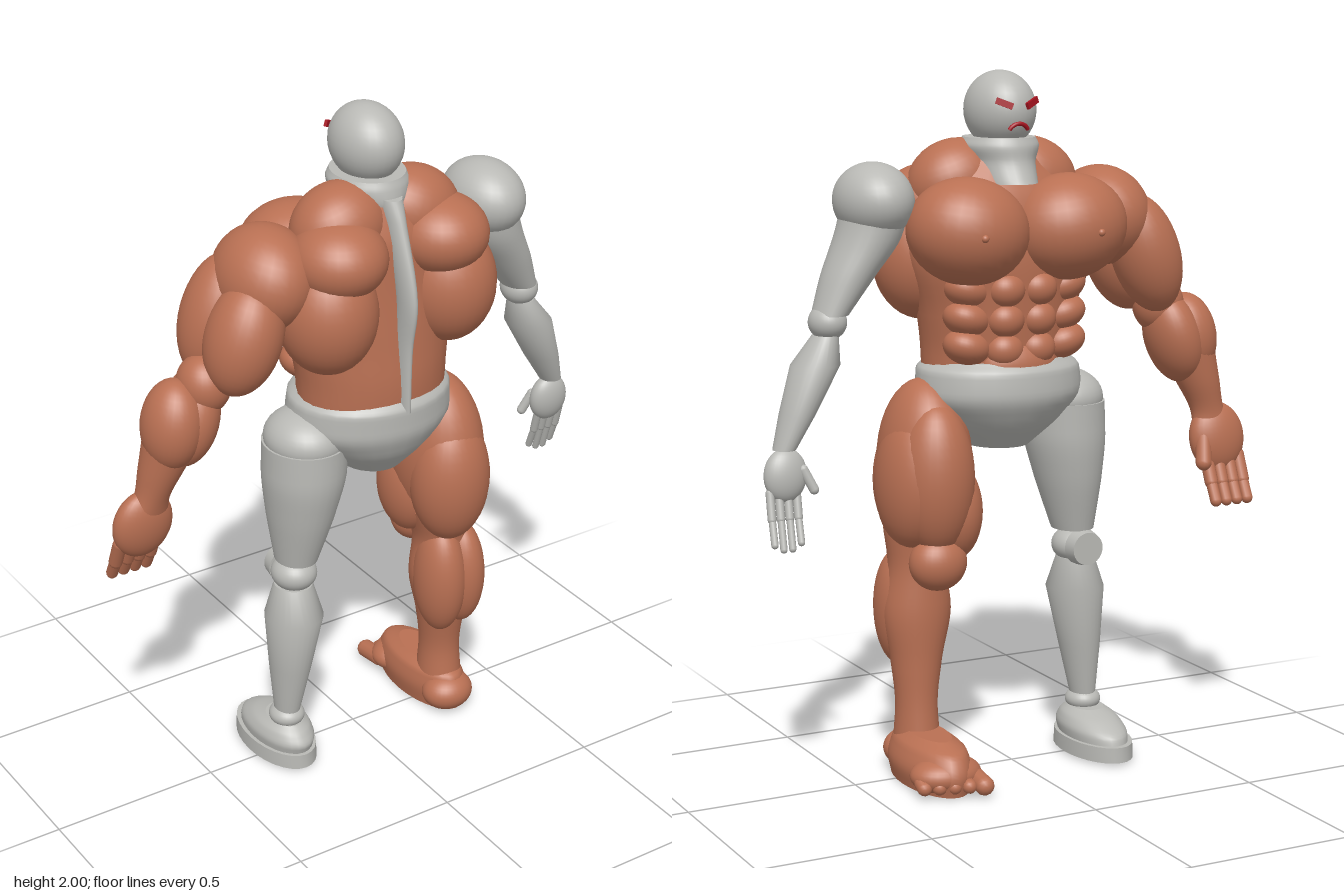
import * as THREE from 'three';

const mat = (name, color, side = THREE.FrontSide) => {
  const m = new THREE.MeshStandardMaterial({ color, side });
  m.name = name;
  return m;
};

export function createModel() {
  const skin = mat('skin', 0xb97053);
  const metal = mat('metal', 0xb9b9b5);
  const red = mat('red', 0xa81420);
  const model = new THREE.Group();
  model.name = 'figure';
  const CX = 0.02; // body centre line

  const add = (name, material, geo, pos = [0, 0, 0], rot = [0, 0, 0]) => {
    const mesh = new THREE.Mesh(geo, material);
    mesh.name = name;
    mesh.position.set(...pos);
    mesh.rotation.set(...rot);
    model.add(mesh);
    return mesh;
  };

  // Muscle or ball: a scaled sphere
  const ball = (name, material, pos, size, rot) =>
    add(name, material, new THREE.SphereGeometry(1, 32, 20), pos, rot).scale.set(...size);

  // Same ball on both sides of the centre line
  const pair = (name, material, [dx, y, z], size, [rx, ry, rz] = [0, 0, 0]) => {
    for (const s of [-1, 1]) ball(name, material, [CX + s * dx, y, z], size, [rx, s * ry, s * rz]);
  };

  // Rounded rod between two points
  const rod = (name, material, a, b, r) => {
    const p = new THREE.Vector3(...a), q = new THREE.Vector3(...b);
    const dir = q.clone().sub(p);
    const mesh = add(name, material, new THREE.CapsuleGeometry(r, dir.length(), 5, 12),
      p.clone().add(q).multiplyScalar(0.5).toArray());
    mesh.quaternion.setFromUnitVectors(new THREE.Vector3(0, 1, 0), dir.normalize());
  };

  // Loft of oval rings from top to bottom: [x, y, z, rx, rz]
  const loft = (name, material, rings, smooth = true) => {
    const seg = 28, steps = smooth ? 5 : 1, rows = (rings.length - 1) * steps;
    const centres = new THREE.CatmullRomCurve3(rings.map(r => new THREE.Vector3(r[0], r[1], r[2])));
    const radii = new THREE.CatmullRomCurve3(rings.map(r => new THREE.Vector3(r[3], r[4], 0)));
    const pos = [], idx = [];
    for (let i = 0; i <= rows; i++) {
      const c = centres.getPoint(i / rows), r = radii.getPoint(i / rows);
      for (let j = 0; j < seg; j++) {
        const a = (j / seg) * Math.PI * 2;
        pos.push(c.x + r.x * Math.cos(a), c.y, c.z + r.y * Math.sin(a));
      }
    }
    for (let i = 0; i < rows; i++) {
      for (let j = 0; j < seg; j++) {
        const k = (j + 1) % seg, a = i * seg + j, b = i * seg + k;
        idx.push(a, b, a + seg, b, b + seg, a + seg);
      }
    }
    // End caps with their own vertices so the rims stay crisp
    for (const [row, top] of [[0, true], [rows, false]]) {
      const start = pos.length / 3, r = rings[top ? 0 : rings.length - 1];
      pos.push(...pos.slice(row * seg * 3, (row + 1) * seg * 3), r[0], r[1], r[2]);
      for (let j = 0; j < seg; j++) {
        const a = start + j, b = start + (j + 1) % seg;
        idx.push(start + seg, top ? b : a, top ? a : b);
      }
    }
    const geo = new THREE.BufferGeometry();
    geo.setAttribute('position', new THREE.Float32BufferAttribute(pos, 3));
    geo.setIndex(idx);
    geo.computeVertexNormals();
    return add(name, material, geo);
  };

  // Head, collar and face (the face looks toward -z)
  ball('head', metal, [CX, 1.89, 0.033], [0.097, 0.11, 0.121]);
  loft('collar', metal, [[CX, 1.815, 0.04, 0.1, 0.115], [CX, 1.79, 0.04, 0.11, 0.125],
    [CX, 1.75, 0.04, 0.095, 0.13], [CX, 1.69, 0.01, 0.085, 0.13]]);
  for (const s of [-1, 1]) {
    add('eye', red, new THREE.BoxGeometry(0.05, 0.018, 0.009), [CX + s * 0.043, 1.912, -0.079], [0.1, -s * 0.45, s * 0.4]);
  }
  add('mouth', red, new THREE.TorusGeometry(0.032, 0.006, 8, 16, Math.PI * 0.7),
    [CX, 1.825, -0.077], [-0.25, 0, Math.PI * 0.15]);

  // Torso core
  loft('torso', skin, [[CX, 1.76, 0.06, 0.13, 0.1], [CX, 1.65, 0.05, 0.25, 0.15], [CX, 1.5, 0.04, 0.285, 0.17],
    [CX, 1.35, 0.05, 0.245, 0.175], [CX, 1.23, 0.06, 0.225, 0.175], [CX, 1.12, 0.06, 0.22, 0.17]]);
  pair('trapezius', skin, [0.12, 1.69, 0.08], [0.14, 0.12, 0.12], [0, 0, -0.35]);
  pair('upperBack', skin, [0.165, 1.63, 0.15], [0.135, 0.11, 0.14]);
  pair('shoulderBlade', skin, [0.195, 1.475, 0.14], [0.14, 0.175, 0.145]);
  pair('chest', skin, [0.155, 1.565, -0.075], [0.175, 0.15, 0.16], [0, 0, 0.15]);
  pair('nipple', skin, [0.18, 1.56, -0.23], [0.011, 0.011, 0.011]);
  for (let i = 0; i < 3; i++) {
    pair('abdominal', skin, [0.05, 1.4 - i * 0.085, -0.1 + i * 0.005], [0.056, 0.05, 0.05]);
    pair('oblique', skin, [0.15, 1.4 - i * 0.08, -0.055], [0.07, 0.05, 0.065], [0, 0.3, 0.3]);
  }
  ball('lowerAbdomen', skin, [CX, 1.18, -0.07], [0.12, 0.08, 0.07]);

  // Metal spine and pelvis
  loft('spine', metal, [[CX, 1.77, 0.14, 0.034, 0.05], [CX, 1.7, 0.17, 0.026, 0.05], [CX, 1.5, 0.235, 0.02, 0.045],
    [CX, 1.35, 0.22, 0.017, 0.04], [CX, 1.16, 0.215, 0.015, 0.04]]);
  loft('pelvis', metal, [[CX, 1.195, 0.05, 0.205, 0.18], [CX, 1.165, 0.048, 0.24, 0.203], [CX, 1.1, 0.045, 0.245, 0.205],
    [CX, 1.02, 0.05, 0.185, 0.17], [CX, 0.94, 0.055, 0.09, 0.1]]);

  // Muscular arm on the right
  ball('shoulder', skin, [-0.315, 1.58, 0.045], [0.135, 0.145, 0.165], [0, 0, -0.3]);
  ball('biceps', skin, [-0.425, 1.47, -0.02], [0.1, 0.18, 0.105], [0, 0, -0.32]);
  ball('triceps', skin, [-0.415, 1.45, 0.105], [0.105, 0.165, 0.11], [0, 0, -0.32]);
  ball('elbow', skin, [-0.505, 1.31, 0.04], [0.075, 0.085, 0.08]);
  ball('outerForearm', skin, [-0.6, 1.21, 0.03], [0.085, 0.13, 0.095], [0, 0, -0.15]);
  ball('innerForearm', skin, [-0.545, 1.21, 0.02], [0.08, 0.14, 0.1], [0, 0, -0.3]);
  loft('lowerForearm', skin, [[-0.585, 1.2, 0.025, 0.09, 0.085], [-0.625, 1.08, 0.01, 0.067, 0.065],
    [-0.655, 0.99, 0, 0.052, 0.045], [-0.67, 0.93, -0.01, 0.065, 0.04]]);
  ball('hand', skin, [-0.68, 0.905, -0.015], [0.09, 0.105, 0.05], [0.12, 0, -0.1]);
  for (let i = 0; i < 4; i++) {
    const x = -0.745 + i * 0.036;
    rod('finger', skin, [x, 0.85, -0.03], [x, 0.78, -0.06], 0.02);
    rod('fingertip', skin, [x, 0.78, -0.06], [x + 0.002, 0.728, -0.09], 0.017);
  }
  rod('thumb', skin, [-0.625, 0.91, -0.03], [-0.612, 0.84, -0.055], 0.024);

  // Metal arm on the left
  ball('metalShoulder', metal, [0.405, 1.65, 0.045], [0.108, 0.107, 0.14], [0, 0, -0.1]);
  loft('metalUpperArm', metal, [[0.395, 1.66, 0.045, 0.09, 0.115], [0.425, 1.55, 0.045, 0.092, 0.105],
    [0.485, 1.45, 0.04, 0.075, 0.085], [0.545, 1.345, 0.032, 0.05, 0.062]]);
  ball('metalElbow', metal, [0.553, 1.325, 0.03], [0.053, 0.05, 0.06]);
  loft('metalForearm', metal, [[0.56, 1.29, 0.03, 0.035, 0.045], [0.592, 1.21, 0.028, 0.068, 0.074],
    [0.65, 1.08, 0.02, 0.05, 0.058], [0.694, 0.985, 0.012, 0.032, 0.036]], false);
  ball('metalHand', metal, [0.695, 0.915, 0.005], [0.062, 0.075, 0.038], [0.1, 0, 0.1]);
  for (let i = 0; i < 4; i++) {
    const x = 0.665 + i * 0.026, tip = i === 0 || i === 3 ? 0.735 : 0.72;
    rod('metalFinger', metal, [x, 0.87, 0], [x + 0.004, 0.8, -0.022], 0.012);
    rod('metalFingertip', metal, [x + 0.004, 0.795, -0.024], [x + 0.008, tip, -0.05], 0.01);
  }
  rod('metalThumb', metal, [0.65, 0.93, -0.015], [0.625, 0.875, -0.03], 0.014);

  // Metal leg on the right
  ball('metalHip', metal, [-0.19, 1.06, 0.045], [0.115, 0.085, 0.125]);
  loft('metalThigh', metal, [[-0.19, 1.05, 0.045, 0.12, 0.13], [-0.195, 0.95, 0.045, 0.118, 0.13],
    [-0.205, 0.82, 0.04, 0.095, 0.11], [-0.218, 0.67, 0.035, 0.06, 0.07]]);
  ball('metalKnee', metal, [-0.222, 0.62, 0.03], [0.066, 0.053, 0.07]);
  add('metalKneecap', metal, new THREE.CylinderGeometry(0.048, 0.055, 0.04, 28), [-0.222, 0.62, -0.035], [-Math.PI / 2, 0, 0]);
  loft('metalShin', metal, [[-0.225, 0.585, 0.03, 0.055, 0.06], [-0.233, 0.49, 0.045, 0.084, 0.092],
    [-0.245, 0.32, 0.04, 0.06, 0.07], [-0.255, 0.16, 0.035, 0.036, 0.042]], false);
  ball('metalAnkle', metal, [-0.256, 0.145, 0.035], [0.052, 0.035, 0.055]);
  loft('metalFoot', metal, [[-0.255, 0.13, 0.02, 0.05, 0.07], [-0.255, 0.11, 0, 0.073, 0.115],
    [-0.255, 0.075, -0.02, 0.084, 0.155], [-0.255, 0.045, -0.03, 0.08, 0.155]]);
  loft('metalSole', metal, [[-0.255, 0.055, -0.03, 0.092, 0.17], [-0.255, 0.01, -0.03, 0.094, 0.172]], false);

  // Muscular leg on the left
  ball('thigh', skin, [0.25, 0.9, 0.055], [0.13, 0.245, 0.165]);
  ball('outerThigh', skin, [0.3, 0.86, 0.03], [0.1, 0.2, 0.14], [0, 0, 0.05]);
  ball('frontThigh', skin, [0.255, 0.87, -0.03], [0.11, 0.215, 0.11]);
  ball('hamstring', skin, [0.245, 0.84, 0.135], [0.12, 0.2, 0.112]);
  ball('innerThigh', skin, [0.19, 0.77, 0], [0.08, 0.145, 0.11]);
  ball('knee', skin, [0.255, 0.63, -0.04], [0.085, 0.08, 0.07]);
  loft('lowerLeg', skin, [[0.26, 0.72, 0.06, 0.11, 0.1], [0.275, 0.6, 0.055, 0.085, 0.085],
    [0.278, 0.48, 0.055, 0.1, 0.09], [0.285, 0.34, 0.045, 0.075, 0.075], [0.29, 0.21, 0.035, 0.06, 0.065],
    [0.29, 0.1, 0.035, 0.066, 0.075]]);
  ball('calf', skin, [0.245, 0.48, 0.095], [0.075, 0.18, 0.09]);
  ball('calf', skin, [0.315, 0.48, 0.095], [0.07, 0.17, 0.09]);
  loft('foot', skin, [[0.288, 0.14, -0.035, 0.05, 0.12], [0.29, 0.115, -0.05, 0.08, 0.175],
    [0.295, 0.06, -0.06, 0.095, 0.195], [0.295, 0.005, -0.06, 0.085, 0.185]]);
  ball('heel', skin, [0.285, 0.06, 0.09], [0.08, 0.058, 0.07]);
  ball('ballOfFoot', skin, [0.298, 0.055, -0.17], [0.105, 0.053, 0.08]);
  for (let i = 0; i < 5; i++) {
    const r = i === 0 ? 0.028 : 0.021, x = 0.222 + i * 0.04;
    rod('toe', skin, [x, 0.045, -0.19], [x, 0.035, -0.262 + i * 0.013], r);
  }
  return model;
}
